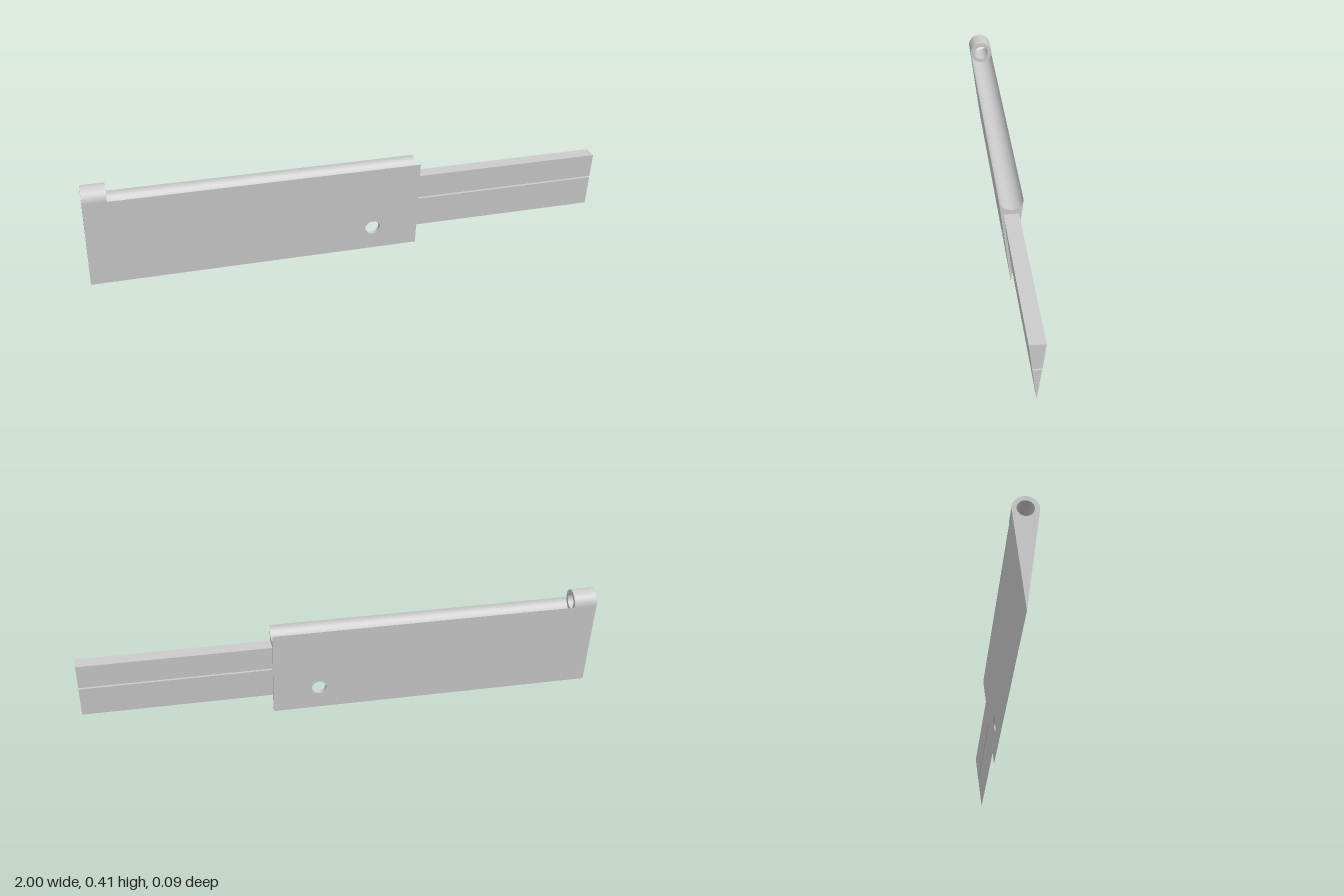
import * as THREE from 'three';

// Main dimensions: knuckle axis height, radii, and lengths along x
const AXIS = 0.368, R = 0.0455, BORE = 0.029;
const X0 = -1, KNUCKLE_END = -0.91, BODY_END = 0.272, X1 = 1;
// The wedge sides run from the bottom edge, tangent to the knuckle
const A = Math.asin(R / AXIS);
const TANGENT_Y = AXIS - R * Math.sin(A), TANGENT_Z = R * Math.cos(A);
const PIN = { x: 0.093, y: 0.096, r: 0.029 };

const material = new THREE.MeshStandardMaterial({ color: 0xcccccc });

function add(group, name, geometry) {
  const mesh = new THREE.Mesh(geometry, material);
  mesh.name = name;
  group.add(mesh);
}

// Turn a surface inside out
function flip(geometry) {
  geometry.index.array.reverse();
  geometry.computeVertexNormals();
  return geometry;
}

// Open cylinder strip along x around the knuckle axis
function strip(r, x0, x1, start = 0, length = Math.PI * 2) {
  return new THREE.CylinderGeometry(r, r, x1 - x0, 64, 1, true, start, length)
    .rotateZ(Math.PI / 2)
    .translate((x0 + x1) / 2, AXIS, 0);
}

// Flat face in the z-y plane, facing +x or -x
function endFace(shape, x, dir) {
  return new THREE.ShapeGeometry(shape, 48).rotateY(dir * Math.PI / 2).translate(x, 0, 0);
}

// Sloping side with the pin hole
function sidePlate(sign) {
  const shape = new THREE.Shape();
  shape.moveTo(X0, 0).lineTo(BODY_END, 0).lineTo(BODY_END, TANGENT_Y).lineTo(X0, TANGENT_Y);
  shape.holes.push(new THREE.Path().absarc(PIN.x, PIN.y, PIN.r, 0, Math.PI * 2, true));
  const g = new THREE.ShapeGeometry(shape, 32);
  const p = g.attributes.position;
  for (let i = 0; i < p.count; i++) p.setZ(i, sign * p.getY(i) * Math.tan(A));
  g.computeVertexNormals();
  return sign < 0 ? flip(g) : g;
}

// Wall of the pin hole, its rims following the sloping sides
function pinHole() {
  const g = new THREE.CylinderGeometry(PIN.r, PIN.r, 2, 64, 1, true)
    .rotateX(Math.PI / 2)
    .translate(PIN.x, PIN.y, 0);
  const p = g.attributes.position;
  for (let i = 0; i < p.count; i++) p.setZ(i, Math.sign(p.getZ(i)) * p.getY(i) * Math.tan(A));
  return flip(g);
}

// Bar along x from a z-y outline
function bar(points) {
  const shape = new THREE.Shape(points.map(([z, y]) => new THREE.Vector2(z, y)));
  return new THREE.ExtrudeGeometry(shape, { depth: X1 - BODY_END, bevelEnabled: false })
    .rotateY(Math.PI / 2)
    .translate(BODY_END, 0, 0);
}

export function createModel() {
  const model = new THREE.Group();
  model.name = 'wedgeHinge';

  // Wedge body with a concave top
  const body = new THREE.Group();
  body.name = 'body';
  const section = new THREE.Shape();
  section.moveTo(0, 0).lineTo(TANGENT_Z, TANGENT_Y);
  section.absarc(0, AXIS, R, -A, Math.PI + A, true);
  section.lineTo(0, 0);
  add(body, 'frontSide', sidePlate(1));
  add(body, 'backSide', sidePlate(-1));
  add(body, 'leftEnd', endFace(section, BODY_END, 1));
  add(body, 'rightEnd', endFace(section, X0, -1));
  add(body, 'topGroove', flip(strip(R, KNUCKLE_END, BODY_END, Math.PI + A, Math.PI - 2 * A)));
  add(body, 'pinHole', pinHole());
  model.add(body);

  // Bored knuckle blending into the wedge sides
  const knuckle = new THREE.Group();
  knuckle.name = 'knuckle';
  const ring = new THREE.Shape().absarc(0, AXIS, R, 0, Math.PI * 2);
  ring.holes.push(new THREE.Path().absarc(0, AXIS, BORE, 0, Math.PI * 2, true));
  add(knuckle, 'knuckleOuter', strip(R, X0, KNUCKLE_END, -A, Math.PI + 2 * A));
  add(knuckle, 'knuckleBore', flip(strip(BORE, X0, KNUCKLE_END)));
  add(knuckle, 'knuckleInnerFace', endFace(ring, KNUCKLE_END, 1));
  add(knuckle, 'knuckleOuterFace', endFace(ring, X0, -1));
  model.add(knuckle);

  // Split tongue: tapered upper bar above a thin gap and a triangular lower bar
  add(model, 'upperTongue', bar([[-0.017, 0.207], [0.017, 0.207], [0.0285, 0.305], [-0.0285, 0.305]]));
  add(model, 'lowerTongue', bar([[0, 0.077], [0.0155, 0.2], [-0.0155, 0.2]]));

  return model;
}
